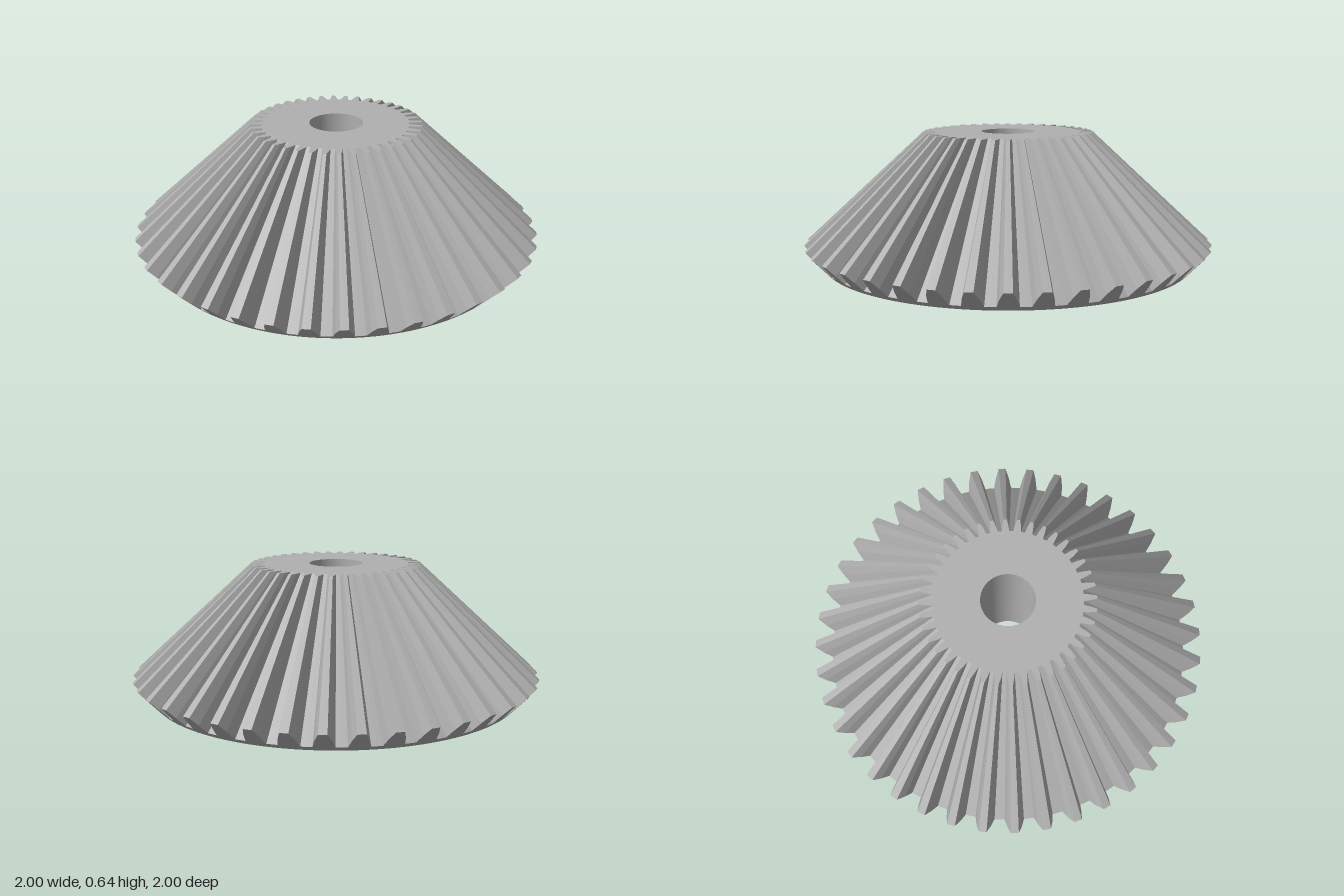
import * as THREE from 'three';

const TEETH = 40;
const APEX = 1.025;   // height where all tooth lines converge
const TOP = 0.64;     // height of the small flat end
const BORE = 0.13;
const BASE = 0.905;

// One tooth: [angle in degrees from its centre, height from root 0 to tip 1]
const TOOTH = [
  [-4.5, 0], [-2.95, 0], [-2.15, 0.52], [-1.1, 1],
  [0, 1], [1.1, 1], [2.15, 0.52], [2.95, 0],
];

// Makes a ring of points; place(t) gives [radius, y] for a tooth height t
function ring(place) {
  const points = [];
  for (let i = 0; i < TEETH; i++) {
    for (const [deg, t] of TOOTH) {
      const a = THREE.MathUtils.degToRad((i * 360) / TEETH + deg);
      const [r, y] = place(t);
      points.push([r * Math.sin(a), y, r * Math.cos(a)]);
    }
  }
  return points;
}

// Joins two rings with a band of flat quads
function band(name, a, b, material) {
  const pos = [];
  for (let i = 0; i < a.length; i++) {
    const j = (i + 1) % a.length;
    pos.push(...a[i], ...a[j], ...b[j], ...a[i], ...b[j], ...b[i]);
  }
  const geometry = new THREE.BufferGeometry();
  geometry.setAttribute('position', new THREE.Float32BufferAttribute(pos, 3));
  geometry.computeVertexNormals();
  const mesh = new THREE.Mesh(geometry, material);
  mesh.name = name;
  return mesh;
}

export function createModel() {
  const steel = new THREE.MeshStandardMaterial({ color: 0xb0b0b0 });
  steel.name = 'grey steel';

  // Large end of the teeth, lying on the back cone
  const heel = (t) => [0.924 + 0.076 * t, 0.02 + 0.08 * t];
  // Small end: the heel profile shrunk toward the apex, cut flat at the top
  const toe = (t) => {
    const [r, y] = heel(t);
    return [(r * (APEX - TOP)) / (APEX - y), TOP];
  };

  const boreBottom = ring(() => [BORE, 0]);
  const base = ring(() => [BASE, 0]);
  const heelRing = ring(heel);
  const toeRing = ring(toe);
  const boreTop = ring(() => [BORE, TOP]);

  const gear = new THREE.Group();
  gear.name = 'bevelGear';
  gear.add(
    band('bottomFace', boreBottom, base, steel),
    band('backCone', base, heelRing, steel),
    band('teeth', heelRing, toeRing, steel),
    band('topFace', toeRing, boreTop, steel),
    band('bore', boreTop, boreBottom, steel),
  );
  return gear;
}
